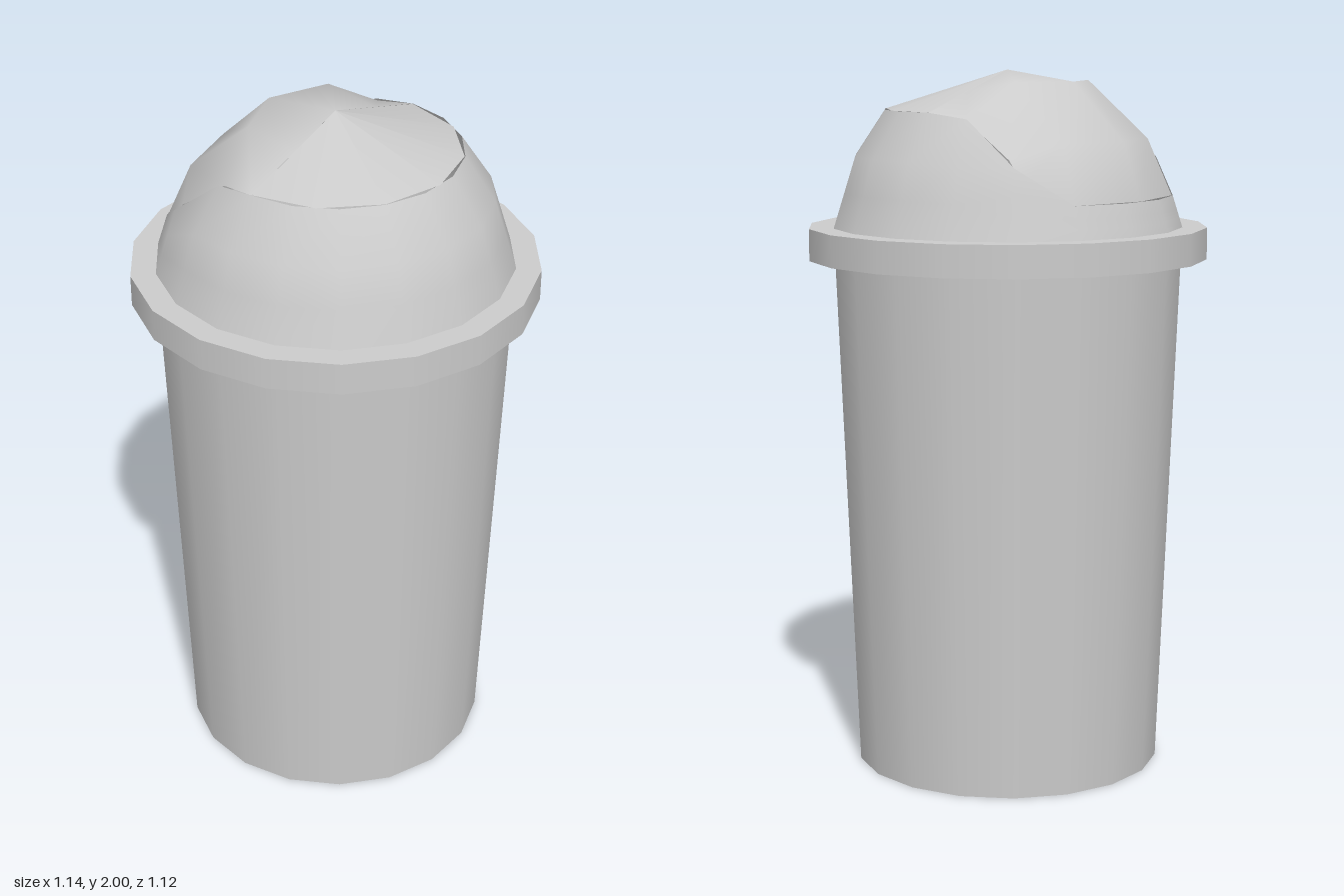
import * as THREE from 'three';
import { mergeVertices } from 'three/addons/utils/BufferGeometryUtils.js';

const SIDES = 18;
const material = new THREE.MeshStandardMaterial({ color: 0xcccccc, side: THREE.DoubleSide });

// Smooth surface through rows of points (bottom to top, left to right seen from outside)
function gridGeometry(rows) {
  const n = rows[0].length;
  const index = [];
  for (let j = 0; j < rows.length - 1; j++) {
    for (let i = 0; i < n - 1; i++) {
      const a = j * n + i, b = a + 1, c = a + n, d = c + 1;
      index.push(a, b, d, a, d, c);
    }
  }
  let g = new THREE.BufferGeometry();
  g.setAttribute('position', new THREE.Float32BufferAttribute(rows.flat(2), 3));
  g.setIndex(index);
  g = mergeVertices(g);
  g.computeVertexNormals();
  return g;
}

// Open tapered wall with a corner on the x axis
function wall(rTop, rBottom, y0, y1) {
  const g = new THREE.CylinderGeometry(rTop, rBottom, y1 - y0, SIDES, 1, true, Math.PI / 2);
  return g.translate(0, (y0 + y1) / 2, 0);
}

// Dome radius at a given height
function domeRadius(y) {
  return y < 1.76
    ? THREE.MathUtils.mapLinear(y, 1.56, 1.76, 0.5, 0.437)
    : THREE.MathUtils.mapLinear(y, 1.76, 1.89, 0.437, 0.35);
}

// Dome shell: level opening at the front, cut down low at the back
function domeGeometry() {
  const backEdge = [1.89, 1.875, 1.75, 1.65, 1.65, 1.65, 1.65, 1.75, 1.875, 1.89];
  const rows = [0, 0.3, 0.606, 1].map((t) => {
    const row = [];
    for (let i = 0; i <= SIDES; i++) {
      const k = i % SIDES;
      const angle = (k / SIDES) * Math.PI * 2;
      const y = 1.56 + t * ((backEdge[k] ?? 1.89) - 1.56);
      const r = domeRadius(y);
      row.push([r * Math.cos(angle), y, -r * Math.sin(angle)]);
    }
    return row;
  });
  return gridGeometry(rows);
}

// Bulging rear half of the flap: each half row is mirrored across x
function flapGeometry() {
  const halves = [
    [[0.325, 1.71, -0.3], [0.235, 1.65, -0.405], [0, 1.65, -0.46]],
    [[0.33, 1.77, -0.26], [0.2, 1.81, -0.345], [0, 1.81, -0.4]],
    [[0.33, 1.875, -0.11], [0.17, 1.97, -0.16], [0, 1.97, -0.23]],
    [[0.35, 1.89, 0], [0.175, 1.945, 0], [0, 2, 0]],
  ];
  return gridGeometry(halves.map((h) => [
    ...h,
    ...h.slice(0, 2).reverse().map(([x, y, z]) => [-x, y, z]),
  ]));
}

export function createModel() {
  const model = new THREE.Group();
  const add = (name, geometry, parent = model) => {
    const mesh = new THREE.Mesh(geometry, material);
    mesh.name = name;
    parent.add(mesh);
  };

  // Tapered bin, open at the bottom
  add('body', wall(0.5, 0.44, 0, 1.56));

  // Collar between body and lid
  const rim = new THREE.Group();
  rim.name = 'rim';
  model.add(rim);
  add('rimWall', wall(0.57, 0.57, 1.47, 1.56), rim);
  for (const [name, y, tilt, inner] of [['rimTop', 1.56, -1, 0.5], ['rimUnderside', 1.47, 1, 0.496]]) {
    const ring = new THREE.RingGeometry(inner, 0.57, SIDES, 1);
    add(name, ring.rotateX(tilt * Math.PI / 2).translate(0, y, 0), rim);
  }

  // Domed lid
  add('dome', domeGeometry());

  // Swing flap: shallow front cap and rounded rear panel
  const flap = new THREE.Group();
  flap.name = 'swingFlap';
  model.add(flap);
  const cap = new THREE.ConeGeometry(0.348, 0.11, 6, 1, true, -Math.PI / 2, Math.PI);
  add('flapFront', cap.translate(0, 1.945, 0), flap);
  add('flapBack', flapGeometry(), flap);

  return model;
}
